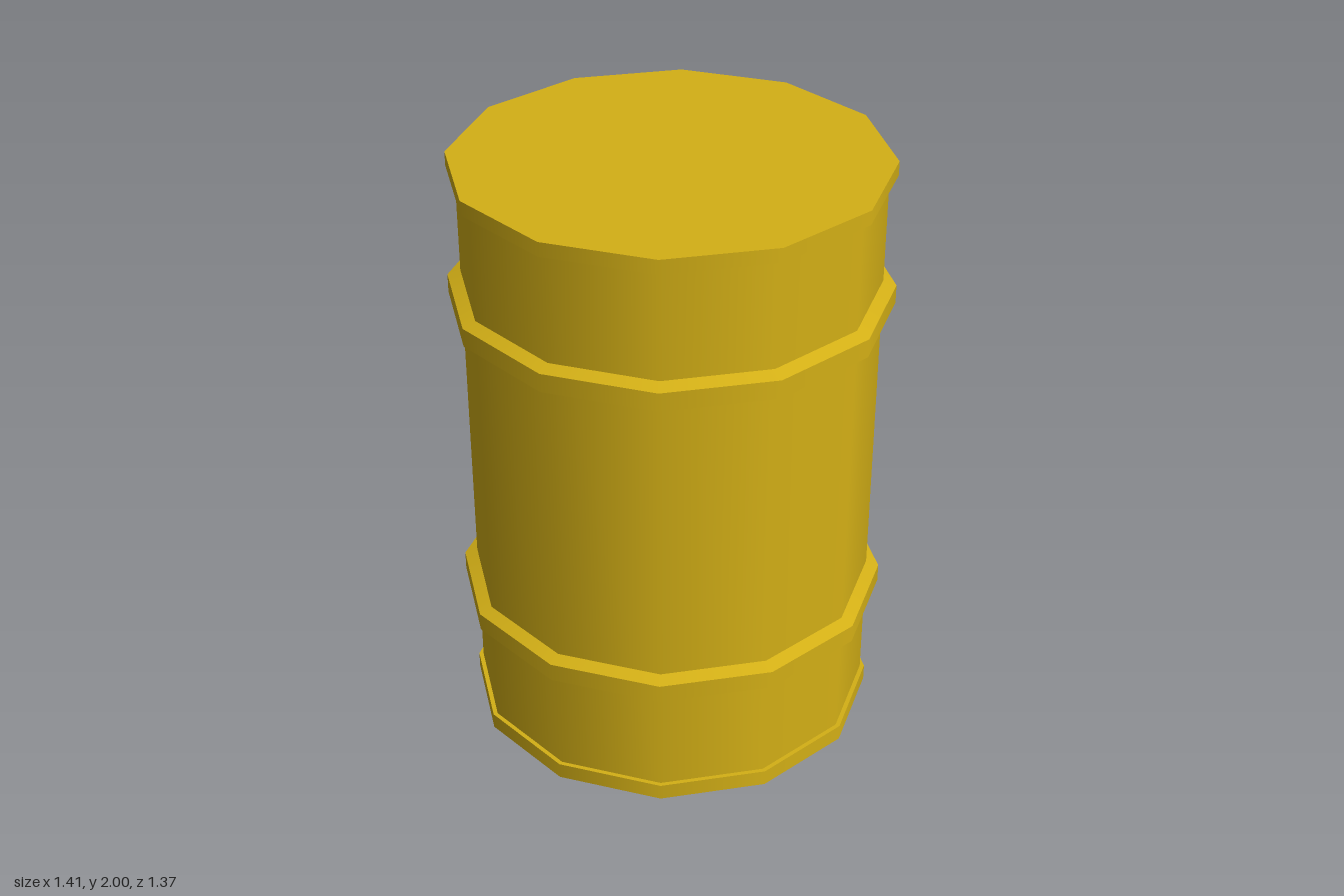
import * as THREE from 'three';

const SIDES = 12;
const DEPTH = 0.97; // the drum is slightly narrower front to back

// Repeats inner profile points so each ring edge stays sharp while the sides shade smoothly.
function ring(name, profile, material) {
  const points = [];
  profile.forEach(([r, y], i) => {
    points.push(new THREE.Vector2(r, y));
    if (i > 0 && i < profile.length - 1) points.push(new THREE.Vector2(r, y));
  });
  const geometry = new THREE.LatheGeometry(points, SIDES);
  geometry.scale(1, 1, DEPTH);
  const mesh = new THREE.Mesh(geometry, material);
  mesh.name = name;
  return mesh;
}

export function createModel() {
  const group = new THREE.Group();
  group.name = 'barrel';
  const paint = new THREE.MeshStandardMaterial({ color: 0xd4b016 });
  const R = 0.665;

  // Main wall
  group.add(ring('body', [[R, 0.03], [R, 1.97]], paint));

  // Base and lid, each with its rim
  group.add(ring('base', [[0, 0], [0.68, 0], [0.68, 0.055], [R - 0.01, 0.055]], paint));
  group.add(ring('lid', [[R - 0.01, 1.953], [0.692, 1.953], [0.692, 2], [0, 2]], paint));

  // Two raised hoops with bevelled edges
  for (const [name, y] of [['lowerHoop', 0.463], ['upperHoop', 1.545]]) {
    group.add(ring(name, [
      [R, y - 0.047], [0.707, y - 0.032], [0.707, y + 0.03], [R, y + 0.047],
    ], paint));
  }
  return group;
}
